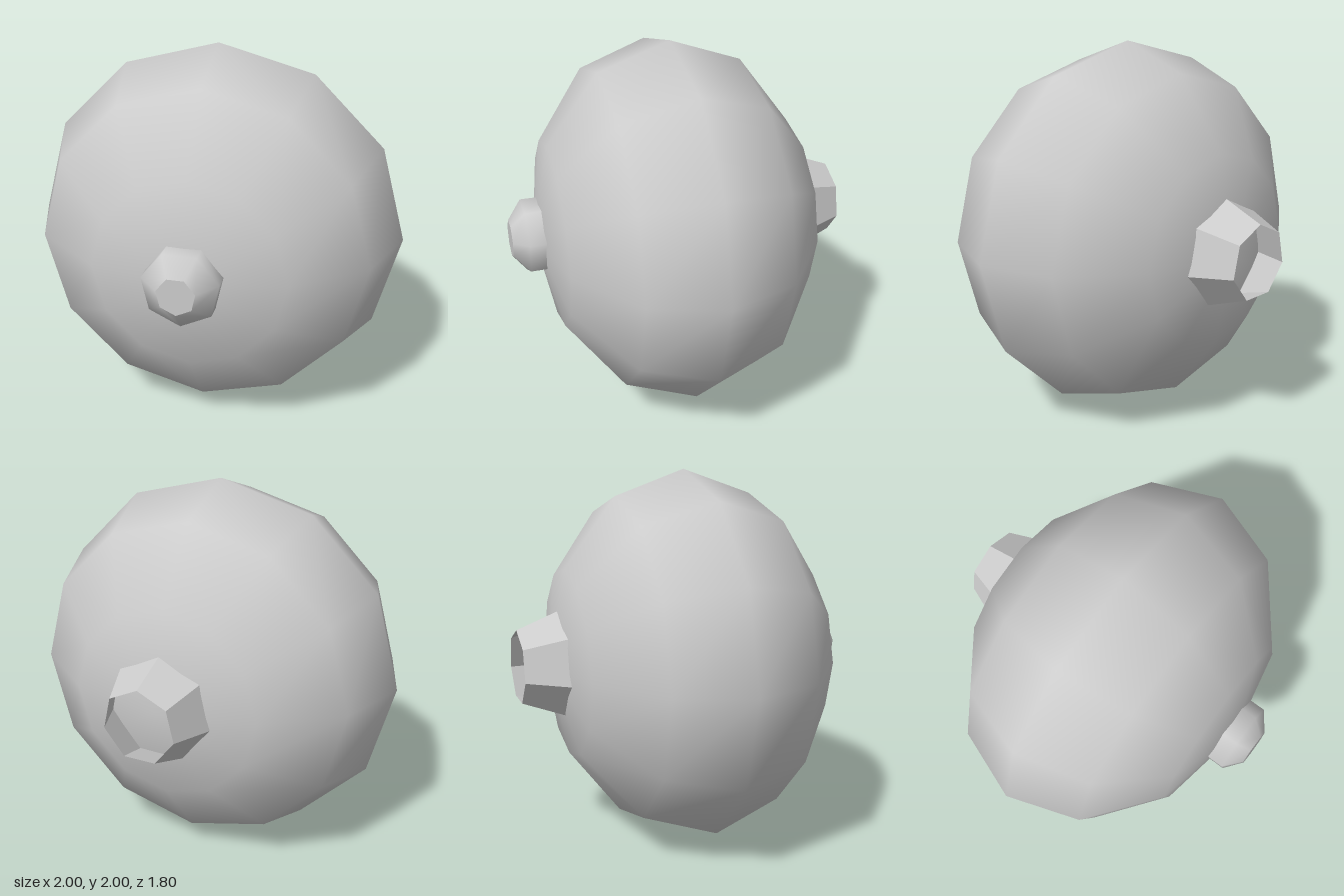
import * as THREE from 'three';

const SIDES = 7;

// Seven-sided turned surface; profile is [radius, distance along the axis]
function turned(profile) {
  return new THREE.LatheGeometry(profile.map(([r, d]) => new THREE.Vector2(r, d)), SIDES);
}

export function createModel() {
  const model = new THREE.Group();
  const smooth = new THREE.MeshStandardMaterial({ color: 0xcccccc });
  const faceted = new THREE.MeshStandardMaterial({
    color: 0xcccccc, flatShading: true, side: THREE.DoubleSide,
  });

  const add = (name, geometry, material, parent = model) => {
    const mesh = new THREE.Mesh(geometry, material);
    mesh.name = name;
    parent.add(mesh);
    return mesh;
  };

  // Body: low-poly sphere with its poles front and back, flattened in depth
  const bodyGeometry = new THREE.SphereGeometry(1, 12, 6);
  bodyGeometry.rotateX(Math.PI / 2).scale(1, 1, 0.76);
  add('body', bodyGeometry, smooth).position.set(0, 1, 0.02);

  // Front knob: rounded side with a flat cap
  const knob = new THREE.Group();
  knob.name = 'frontKnob';
  knob.position.y = 1;
  model.add(knob);
  const knobSide = turned([[0.2, 0.72], [0.2, 0.825], [0.1, 0.9]]);
  add('knobSide', knobSide.rotateX(Math.PI / 2), smooth, knob);
  const cap = new THREE.CircleGeometry(0.1, SIDES, -Math.PI / 2);
  add('knobCap', cap, smooth, knob).position.z = 0.9;

  // Back nozzle: open, tapering and faceted
  const nozzle = turned([[0.292, 0.65], [0.195, 0.9]]);
  add('backNozzle', nozzle.rotateX(-Math.PI / 2), faceted).position.y = 1;

  return model;
}
